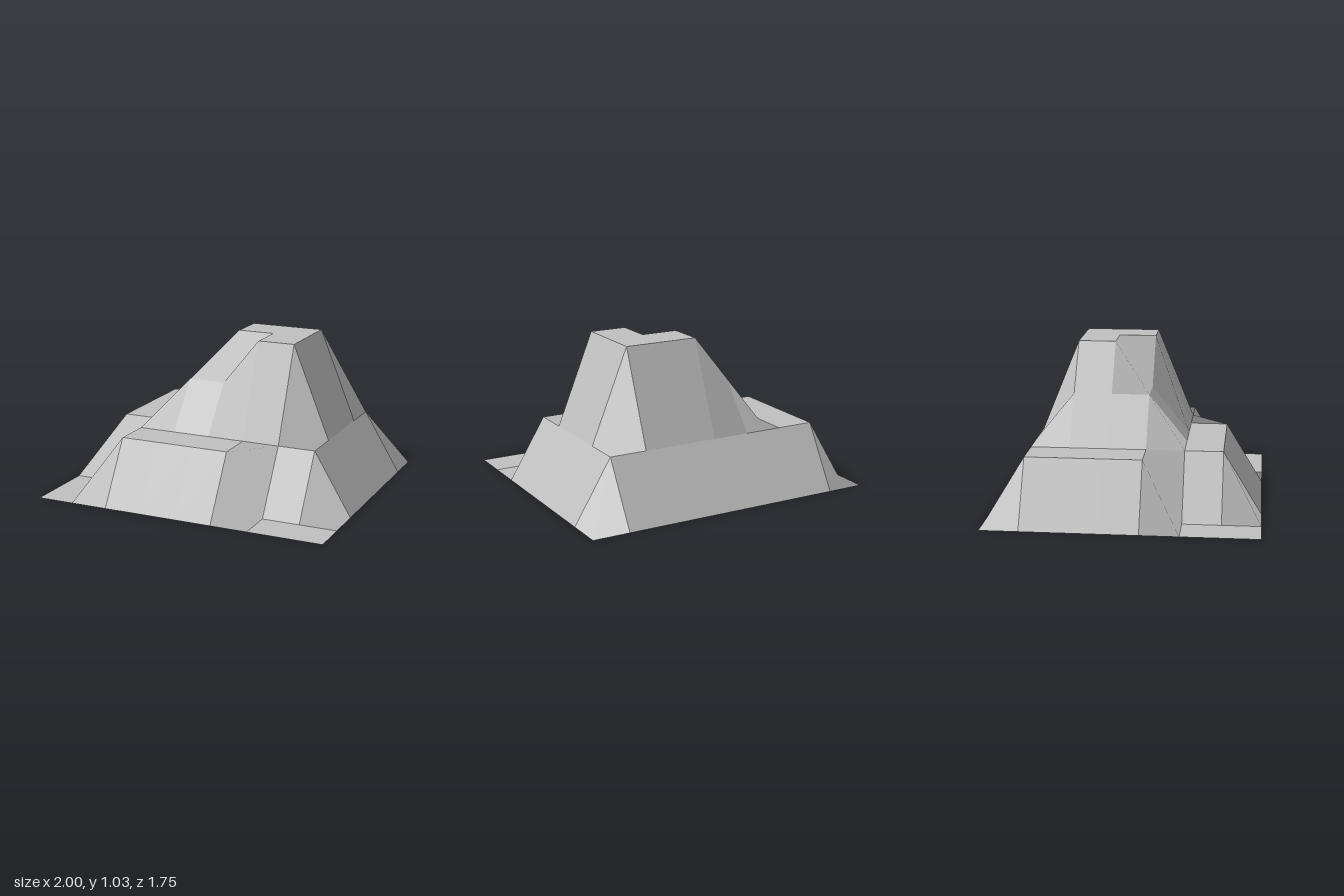
import * as THREE from 'three';

const CELL = 0.25;
// height levels: ground, terrace, shoulder, summit
const LEVELS = [0, 0.412, 0.72, 1.028];
// level of each grid point, rows from back to front, columns along +x
const ROWS = [
  '000000000',
  '011111110',
  '011233310',
  '011233310',
  '011223310',
  '001111110',
  '001111000',
  '000000000',
];

const level = (i, j) => Number(ROWS[j][i]);

function point(i, j) {
  return new THREE.Vector3((i - 4) * CELL, LEVELS[level(i, j)], (j - 3.5) * CELL);
}

// surface made of the given grid cells, each cell with one flat normal
function cellSurface(cells) {
  const positions = [];
  const normals = [];
  for (const [i, j] of cells) {
    const a = point(i, j), b = point(i + 1, j);
    const c = point(i, j + 1), d = point(i + 1, j + 1);
    const normal = c.clone().sub(b).cross(d.clone().sub(a)).normalize();
    for (const p of [a, c, b, b, c, d]) {
      positions.push(p.x, p.y, p.z);
      normals.push(normal.x, normal.y, normal.z);
    }
  }
  const geometry = new THREE.BufferGeometry();
  geometry.setAttribute('position', new THREE.Float32BufferAttribute(positions, 3));
  geometry.setAttribute('normal', new THREE.Float32BufferAttribute(normals, 3));
  return geometry;
}

export function createModel() {
  const group = new THREE.Group();
  group.name = 'hill';
  const stone = new THREE.MeshStandardMaterial({ color: 0xc0c0c0, side: THREE.DoubleSide });
  stone.name = 'stone grey';

  // sort the cells into parts by their highest corner
  const parts = { groundCorners: [], lowerTerrace: [], peak: [] };
  for (let j = 0; j < 7; j++) {
    for (let i = 0; i < 8; i++) {
      const top = Math.max(level(i, j), level(i + 1, j), level(i, j + 1), level(i + 1, j + 1));
      const part = top === 0 ? 'groundCorners' : top === 1 ? 'lowerTerrace' : 'peak';
      parts[part].push([i, j]);
    }
  }

  for (const [name, cells] of Object.entries(parts)) {
    const mesh = new THREE.Mesh(cellSurface(cells), stone);
    mesh.name = name;
    group.add(mesh);
  }
  return group;
}
